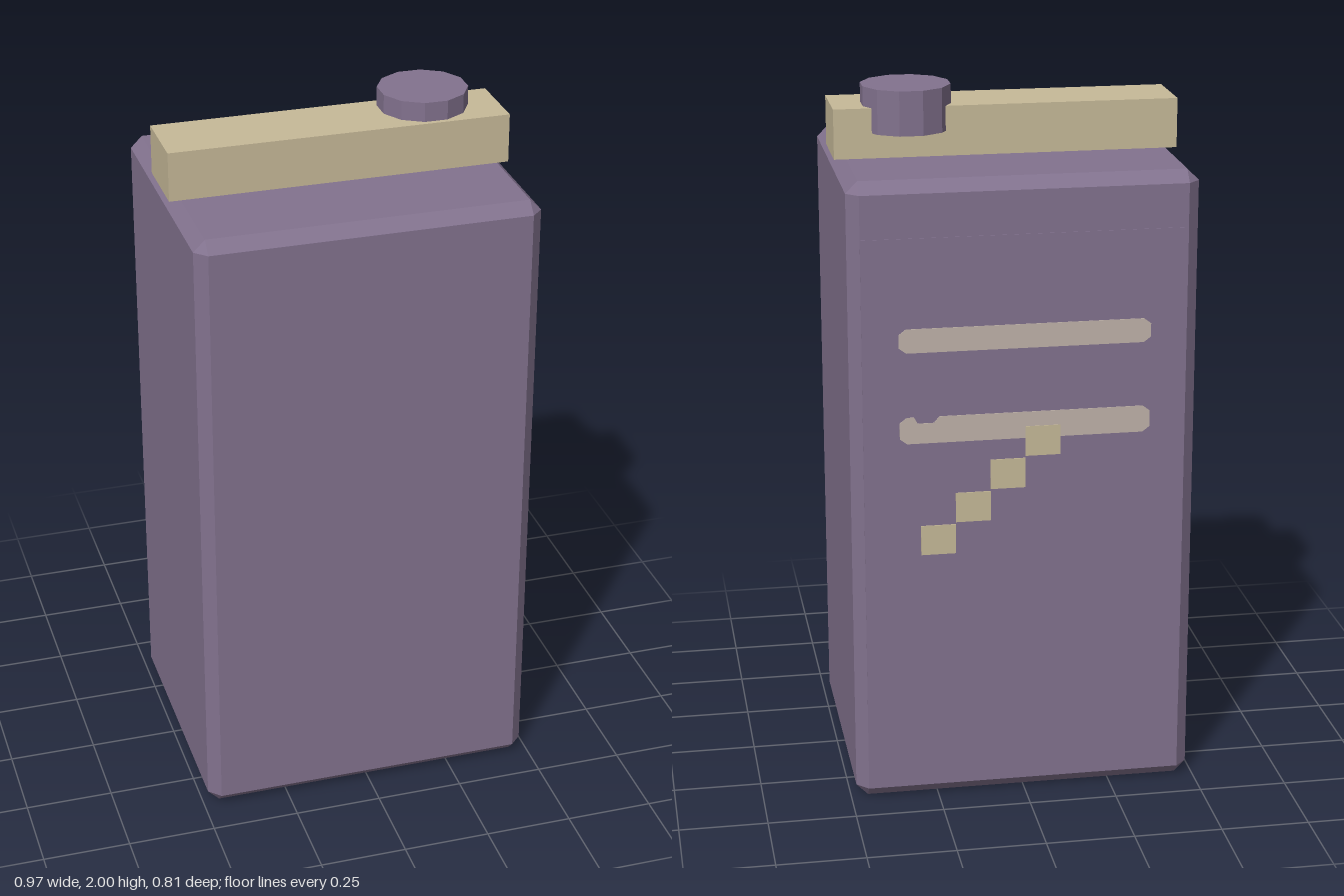
import * as THREE from 'three';
import { ConvexGeometry } from 'three/addons/geometries/ConvexGeometry.js';

// Box with chamfered edges and corners, centred on the origin
function chamferedBox(w, h, d, c) {
  const points = [];
  for (const x of [-w / 2, w / 2]) for (const y of [-h / 2, h / 2]) for (const z of [-d / 2, d / 2]) {
    const [sx, sy, sz] = [x, y, z].map((v) => Math.sign(v) * c);
    points.push(
      new THREE.Vector3(x, y - sy, z - sz),
      new THREE.Vector3(x - sx, y, z - sz),
      new THREE.Vector3(x - sx, y - sy, z),
    );
  }
  return new ConvexGeometry(points);
}

export function createModel() {
  const group = new THREE.Group();
  const material = (name, color) => {
    const m = new THREE.MeshStandardMaterial({ color });
    m.name = name;
    return m;
  };
  const purple = material('purple', 0x82728e);
  const tan = material('tan', 0xc6b998);
  const paleTan = material('pale tan', 0xbfb2a9);

  const add = (name, geometry, mat, x, y, z) => {
    const mesh = new THREE.Mesh(geometry, mat);
    mesh.name = name;
    mesh.position.set(x, y, z);
    group.add(mesh);
    return mesh;
  };

  // Carton with its top ridge
  add('carton', chamferedBox(0.968, 1.805, 0.8, 0.033), purple, 0, 0.9025, 0);
  add('ridge', new THREE.BoxGeometry(0.968, 0.14, 0.204), tan, 0, 1.875, 0.002);

  // Twelve-sided cap, flat sides facing the axes
  const capGeometry = new THREE.CylinderGeometry(0.127, 0.127, 0.125, 12).toNonIndexed();
  capGeometry.rotateY(Math.PI / 12);
  capGeometry.computeVertexNormals();
  add('cap', capGeometry, purple, 0.275, 1.9375, -0.033);

  // Thin label on the back
  add('backLabel', new THREE.BoxGeometry(0.902, 1.4, 0.004), purple, 0, 0.95, -0.4);

  // Painted plates on the back; outline points are seen from behind
  const plate = (name, outline, mat, z) => {
    const shape = new THREE.Shape(outline.map(([x, y]) => new THREE.Vector2(x, y)));
    const geometry = new THREE.ExtrudeGeometry(shape, { depth: 0.003, bevelEnabled: false });
    geometry.rotateY(Math.PI);
    add(name, geometry, mat, 0, 0, z);
  };

  // Stripes with clipped ends; the lower one has a notch in its top edge
  const stripe = (name, y0, y1, notch) => plate(name, [
    [-0.35, y0 + 0.015], [-0.33, y0], [0.33, y0], [0.35, y0 + 0.015],
    [0.35, y1 - 0.015], [0.33, y1], ...notch, [-0.33, y1], [-0.35, y1 - 0.015],
  ], paleTan, -0.401);
  stripe('upperStripe', 1.33, 1.398, []);
  stripe('lowerStripe', 1.07, 1.146, [[-0.24, 1.146], [-0.255, 1.128], [-0.3, 1.128], [-0.31, 1.146]]);

  // Stepped diagonal of small blocks
  for (let i = 0; i < 4; i++) {
    const x = -0.294 + i * 0.098;
    const y = 0.742 + i * 0.092;
    plate('diagonalBlock', [[x, y], [x + 0.098, y], [x + 0.098, y + 0.086], [x, y + 0.086]], tan, -0.403);
  }

  return group;
}
